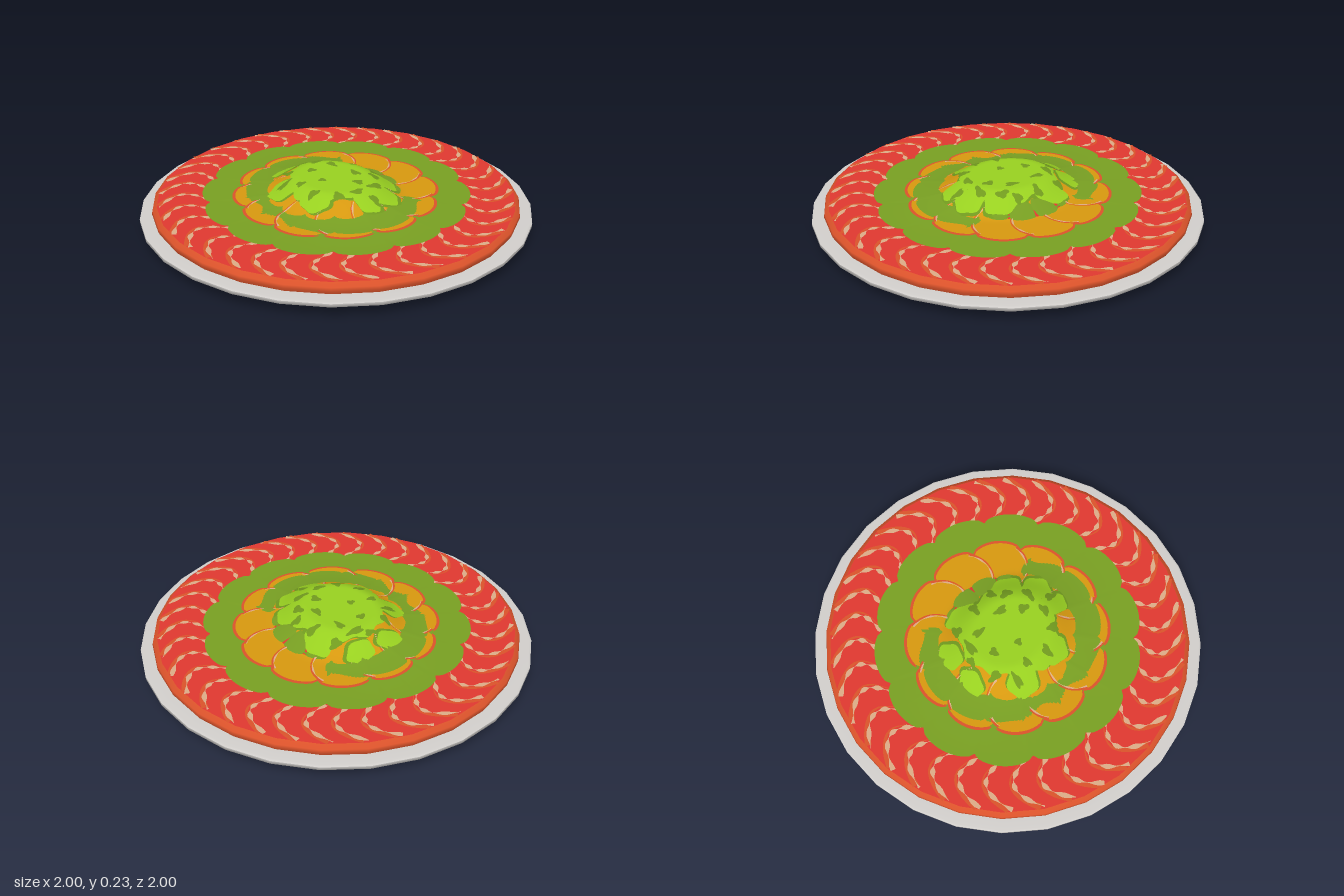
import * as THREE from 'three';
import { mergeGeometries } from 'three/addons/utils/BufferGeometryUtils.js';

const TAU = Math.PI * 2;
const TOP = 0.138;

function makeMaterial(name, color, side = THREE.FrontSide) {
  const m = new THREE.MeshStandardMaterial({ color, side });
  m.name = name;
  return m;
}

// height of the central mound above the flat top
function mound(x, z) {
  const u = Math.hypot((x + 0.02) / 0.35, z / 0.41);
  return 0.079 * (1 - THREE.MathUtils.smoothstep(u, 0.47, 1));
}

// grid surface laid over the top; fn(i, j) gives [x, z], i runs clockwise, j outward
function drape(nu, nv, lift, fn) {
  const pos = [], index = [];
  for (let j = 0; j <= nv; j++) {
    for (let i = 0; i <= nu; i++) {
      const [x, z] = fn(i / nu, j / nv);
      pos.push(x, TOP + lift + mound(x, z), z);
      if (i < nu && j < nv) {
        const a = j * (nu + 1) + i, b = a + 1, c = a + nu + 1, d = c + 1;
        index.push(a, b, d, a, d, c);
      }
    }
  }
  const g = new THREE.BufferGeometry();
  g.setAttribute('position', new THREE.Float32BufferAttribute(pos, 3));
  g.setIndex(index);
  g.computeVertexNormals();
  return g;
}

// filled outline, radius(t) with t clockwise from the back
function patch(cx, cz, radius, lift, nu = 32, nv = 6, sx = 1, sz = 1) {
  return drape(nu, nv, lift, (u, v) => {
    const t = u * TAU, r = radius(t) * v;
    return [cx + Math.sin(t) * r * sx, cz - Math.cos(t) * r * sz];
  });
}

// flat band along path(s) -> [x, z], with width(s)
function ribbon(path, width, lift, steps = 20) {
  return drape(1, steps, lift, (u, s) => {
    const [x, z] = path(s), [x1, z1] = path(s + 0.01);
    const dx = x1 - x, dz = z1 - z, l = Math.hypot(dx, dz);
    const w = (0.5 - u) * width(s);
    return [x + (dz / l) * w, z - (dx / l) * w];
  });
}

const polar = (r, t) => [Math.sin(t) * r, -Math.cos(t) * r];

export function createModel() {
  const group = new THREE.Group();
  const plateGrey = makeMaterial('plate grey', 0xd0cdca, THREE.DoubleSide);
  const tomatoRed = makeMaterial('tomato red', 0xdf382f);
  const skinOrange = makeMaterial('tomato skin', 0xd9522a, THREE.DoubleSide);
  const cream = makeMaterial('pale flesh', 0xdcab86);
  const cucumber = makeMaterial('cucumber green', 0x789f22);
  const orange = makeMaterial('orange slice', 0xd6980f);
  const lettuce = makeMaterial('lettuce green', 0x98d020);
  const darkLeaf = makeMaterial('dark leaf', 0x719a1e);

  const add = (name, geometry, material) => {
    const m = new THREE.Mesh(Array.isArray(geometry) ? mergeGeometries(geometry) : geometry, material);
    m.name = name;
    group.add(m);
  };
  const lathe = (pts) => new THREE.LatheGeometry(pts.map((p) => new THREE.Vector2(...p)), 28);

  // serving plate
  add('plate', lathe([[0, 0], [0.45, 0], [0.86, 0], [0.89, 0.006], [0.97, 0.052], [1, 0.064], [1, 0.08]]), plateGrey);
  add('plateRim', lathe([[1, 0.08], [0.99, 0.087], [0.92, 0.087]]), plateGrey);

  // tomato layer
  add('tomatoSide', lathe([[0.925, 0.08], [0.938, 0.105], [0.934, 0.121], [0.91, 0.137]]), skinOrange);
  add('tomatoTop', lathe([[0.915, 0.134], [0.895, TOP], [0.6, TOP], [0, TOP]].reverse().map(([r, y]) => [r, y])).scale(1, 1, 1), tomatoRed);
  group.children[group.children.length - 1].geometry = patch(0, 0, () => 0.912, 0, 28, 8);

  // curved edges of the overlapping tomato slices
  const skins = [], edges = [];
  const count = 36;
  for (let k = 0; k < count; k++) {
    const t0 = (k / count) * TAU;
    const curve = (offset) => (s) => polar(0.65 + 0.25 * s,
      t0 + offset + 0.13 * Math.sin(Math.PI * (0.1 + 0.9 * (1 - s))) - 0.1 * s * s);
    skins.push(ribbon(curve(0), (s) => 0.004 + 0.03 * s * s, 0.0015, 12));
    edges.push(ribbon(curve(-0.022),
      (s) => Math.max(0.002, 0.014 + 0.013 * Math.sin(s * 24 + k * 1.7)), 0.0025, 24));
  }
  add('tomatoSliceSkins', skins, skinOrange);
  add('tomatoSliceEdges', edges, cream);

  // scalloped cucumber ring
  add('cucumberRing', patch(0, 0, (t) => 0.645 + 0.042 * Math.sqrt(Math.abs(Math.cos(t * 7))), 0.004, 168, 4), cucumber);

  // scalloped orange slices, rising into the mound
  const scallop = (r) => (t) => r + 0.045 * Math.sqrt(Math.abs(Math.cos(t * 6)));
  add('orangePeel', patch(0, 0, scallop(0.487), 0.005, 144, 24), skinOrange);
  add('orangeSlices', patch(0, 0, scallop(0.472), 0.007, 144, 24), orange);
  const peels = [], piths = [];
  for (let k = 0; k < 12; k++) {
    const t0 = (k / 12) * TAU;
    const [cx, cz] = polar(0.37, t0);
    const arc = (r) => (s) => {
      const a = t0 + 0.75 + s * 1.75;
      return [cx + Math.sin(a) * r, cz - Math.cos(a) * r];
    };
    peels.push(ribbon(arc(0.152), (s) => 0.011 * (1 - 0.8 * s), 0.0085));
    piths.push(ribbon(arc(0.144), (s) => 0.006 + 0.004 * Math.sin(s * 17 + k), 0.009));
  }
  add('orangeSlicePeels', peels, skinOrange);
  add('orangeSlicePith', piths, cream);

  // lettuce leaves over the mound: x, z, half width, half depth
  const leaves = [
    [-0.11, -0.31, 0.075, 0.05], [0.07, -0.31, 0.075, 0.055], [0.1, 0.26, 0.075, 0.075],
    [-0.02, 0.28, 0.065, 0.07], [-0.22, 0.12, 0.07, 0.08], [-0.26, -0.1, 0.075, 0.08],
    [0.19, 0.13, 0.07, 0.09], [0.2, -0.14, 0.065, 0.09],
  ];
  const heart = (r) => (t) => r + 0.012 * Math.sin(3 * t + 1) + 0.011 * Math.cos(11 * t);
  const leafEdge = (t) => 1 + 0.07 * Math.sin(5 * t);
  const leafSet = (grow, dx, dz, lift) => [
    patch(-0.015 + dx, dz, heart(0.245 + grow), lift, 96, 20),
    ...leaves.map(([x, z, w, d]) =>
      patch(x + dx, z + dz, leafEdge, lift, 28, 8, w + grow, d + grow)),
  ];
  add('leafUndersides', leafSet(0.008, 0.008, 0.008, 0.009), darkLeaf);
  add('lettuceLeaves', leafSet(0, 0, 0, 0.012), lettuce);

  // dark folds between the leaves: x, z, half width, half depth
  const folds = [
    [-0.09, 0, 0.02, 0.018], [-0.06, -0.13, 0.025, 0.02], [-0.16, -0.2, 0.02, 0.035],
    [0.03, -0.21, 0.045, 0.02], [0.15, -0.21, 0.03, 0.025], [0.07, -0.13, 0.018, 0.035],
    [0.19, -0.07, 0.04, 0.02], [0.1, 0.03, 0.02, 0.035], [0.21, 0.05, 0.03, 0.022],
    [0.16, 0.11, 0.022, 0.035], [0.04, 0.13, 0.022, 0.03], [-0.03, 0.21, 0.035, 0.02],
    [0.09, 0.2, 0.045, 0.02], [-0.13, 0.19, 0.025, 0.03], [-0.21, 0.09, 0.035, 0.02],
    [-0.2, -0.03, 0.025, 0.02], [-0.24, -0.12, 0.04, 0.018], [0.02, 0.29, 0.02, 0.035],
    [-0.03, -0.25, 0.03, 0.016],
  ];
  add('leafFolds', folds.map(([x, z, w, d], k) =>
    patch(x, z, (t) => 1 + 0.22 * Math.sin(3 * t + k) + 0.1 * Math.sin(5 * t), 0.0145, 20, 4, w, d)), darkLeaf);

  return group;
}
